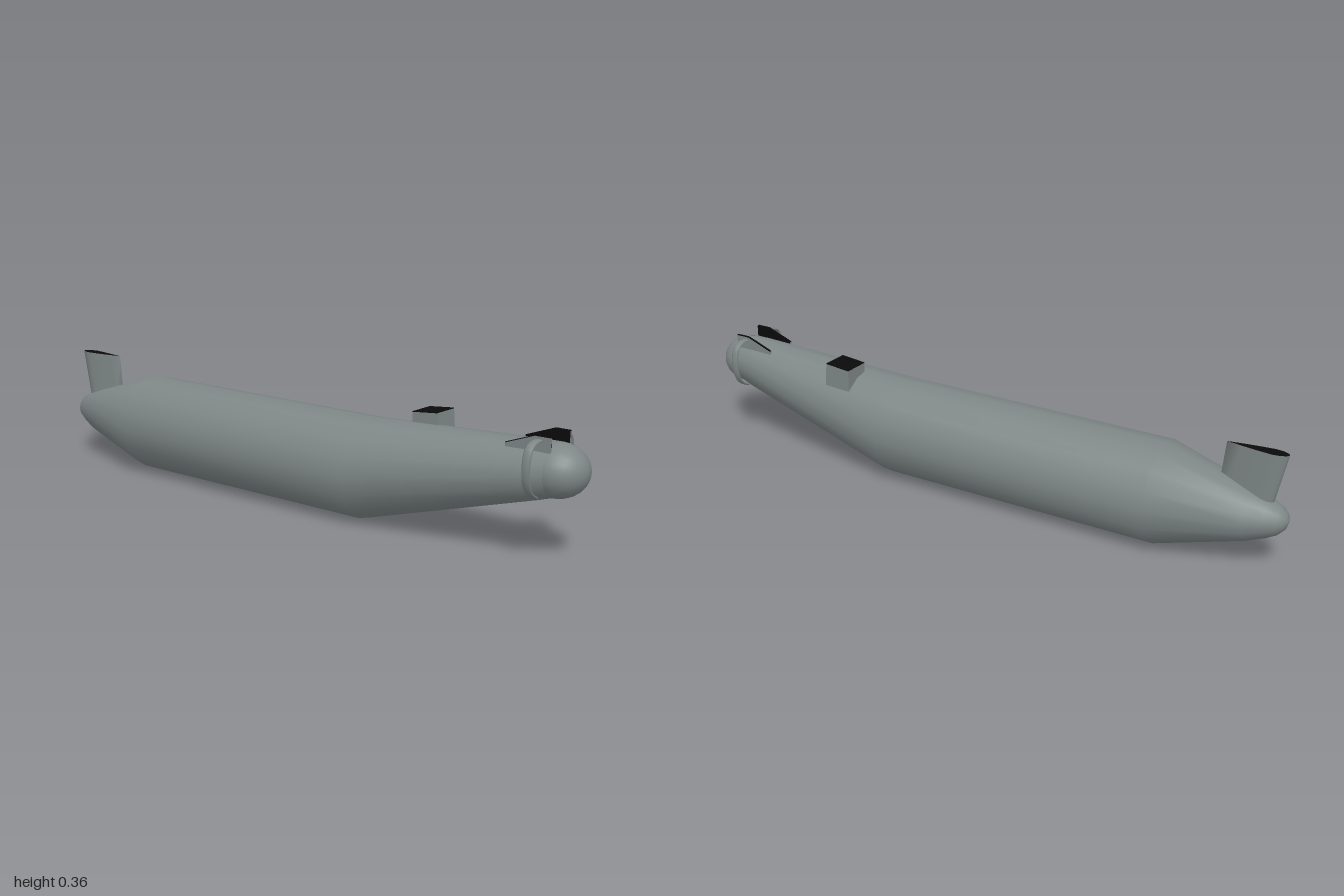
import * as THREE from 'three';

const grey = new THREE.MeshStandardMaterial({ color: 0x7e8686, side: THREE.DoubleSide });
grey.name = 'hull grey';
const black = new THREE.MeshStandardMaterial({ color: 0x0a0a0a, side: THREE.DoubleSide });
black.name = 'matt black';

function add(parent, name, geometry, material) {
  const mesh = new THREE.Mesh(geometry, material);
  mesh.name = name;
  parent.add(mesh);
  return mesh;
}

// Smooth skin over a list of closed rings with equal point counts
function loft(rings) {
  const n = rings[0].length;
  const index = [];
  for (let i = 0; i < rings.length - 1; i++) {
    for (let j = 0; j < n; j++) {
      const k = (j + 1) % n;
      const a = i * n + j, b = i * n + k, c = (i + 1) * n + k, d = (i + 1) * n + j;
      index.push(a, b, c, a, c, d);
    }
  }
  const g = new THREE.BufferGeometry();
  g.setAttribute('position', new THREE.Float32BufferAttribute(rings.flat(2), 3));
  g.setIndex(index);
  g.computeVertexNormals();
  return g;
}

// Side profile of [z, y] points given a width across x, ending at xMax
function plate(points, xMax, width) {
  const shape = new THREE.Shape(points.map(([z, y]) => new THREE.Vector2(z, y)));
  return new THREE.ExtrudeGeometry(shape, { depth: width, bevelEnabled: false })
    .rotateY(-Math.PI / 2).translate(xMax, 0, 0);
}

// Thin strip lying on top of a line of [z, y] points
function topStrip(line, xMax, width) {
  const upper = line.map(([z, y]) => [z, y + 0.002]).reverse();
  return plate([...line, ...upper], xMax, width);
}

export function createModel() {
  const model = new THREE.Group();
  model.name = 'submarine';

  // Sixteen-sided hull: z, centre height, half width, half height
  const stations = [
    [-1.0, 0.16, 0.004, 0.004], [-0.993, 0.16, 0.024, 0.024], [-0.975, 0.159, 0.042, 0.042],
    [-0.945, 0.158, 0.057, 0.057], [-0.89, 0.157, 0.078, 0.078], [-0.625, 0.157, 0.155, 0.155],
    [0.29, 0.157, 0.155, 0.155], [0.85, 0.251, 0.092, 0.086], [0.91, 0.261, 0.083, 0.077],
  ];
  add(model, 'hull', loft(stations.map(([z, y, rx, ry]) =>
    Array.from({ length: 16 }, (_, j) => {
      const a = j * Math.PI / 8;
      return [rx * Math.sin(a), y - ry * Math.cos(a), z];
    }))), grey);

  // Rounded nose
  const nose = new THREE.SphereGeometry(1, 24, 8, 0, Math.PI * 2, 0, Math.PI / 2)
    .rotateX(Math.PI / 2).scale(0.083, 0.077, 0.09).translate(0, 0.261, 0.91);
  add(model, 'nose', nose, grey);

  // Tail fin with an aerofoil section: fraction from the sharp edge, half thickness
  const half = [[0, 0], [0.25, 0.008], [0.5, 0.015], [0.75, 0.02], [0.88, 0.017], [0.97, 0.009], [1, 0]];
  const foil = [...half, ...half.slice(1, -1).reverse().map(([t, x]) => [t, -x])];
  const finRing = (y, z0, z1) => foil.map(([t, x]) => [x, y, z0 + (z1 - z0) * t]);
  const tip = finRing(0.36, -0.803, -0.984);
  add(model, 'tailFin', loft([finRing(0.17, -0.785, -0.945), tip]), grey);
  const cap = new THREE.ShapeGeometry(new THREE.Shape(tip.map(([x, , z]) => new THREE.Vector2(x, -z))))
    .rotateX(-Math.PI / 2).translate(0, 0.3605, 0);
  add(model, 'tailFinTop', cap, black);

  // Offset box on the foredeck
  const boxTop = [[0.424, 0.345], [0.509, 0.353]];
  add(model, 'deckBox', plate([[0.424, 0.275], [0.515, 0.28], boxTop[1], boxTop[0]], 0.1, 0.087), grey);
  add(model, 'deckBoxTop', topStrip(boxTop, 0.1, 0.087), black);

  // Nose brackets and the side hoops hung from them
  const ridge = [[0.778, 0.326], [0.868, 0.359], [0.915, 0.359]];
  const profile = [[0.778, 0.3], [0.915, 0.3], ...ridge.slice().reverse()];
  for (const side of [1, -1]) {
    const group = new THREE.Group();
    group.name = side > 0 ? 'leftHoopAssembly' : 'rightHoopAssembly';
    model.add(group);
    const x = side * 0.0525;
    add(group, 'bracket', plate(profile, x + 0.0035, 0.007), grey);
    add(group, 'bracketTop', topStrip(ridge, x + 0.0035, 0.007), black);
    add(group, 'bracketInnerFace', plate(profile, x - side * 0.004 + 0.0005, 0.001), black);

    const path = new THREE.CatmullRomCurve3([
      [0.053, 0.348], [0.08, 0.346], [0.103, 0.334], [0.114, 0.305], [0.116, 0.27],
      [0.109, 0.236], [0.093, 0.21], [0.065, 0.193],
    ].map(([px, py]) => new THREE.Vector3(side * px, py, 0)));
    const hoop = new THREE.TubeGeometry(path, 24, 0.004, 8).scale(1, 1, 3.3).translate(0, 0, 0.88);
    add(group, 'hoop', hoop, grey);
  }
  return model;
}
